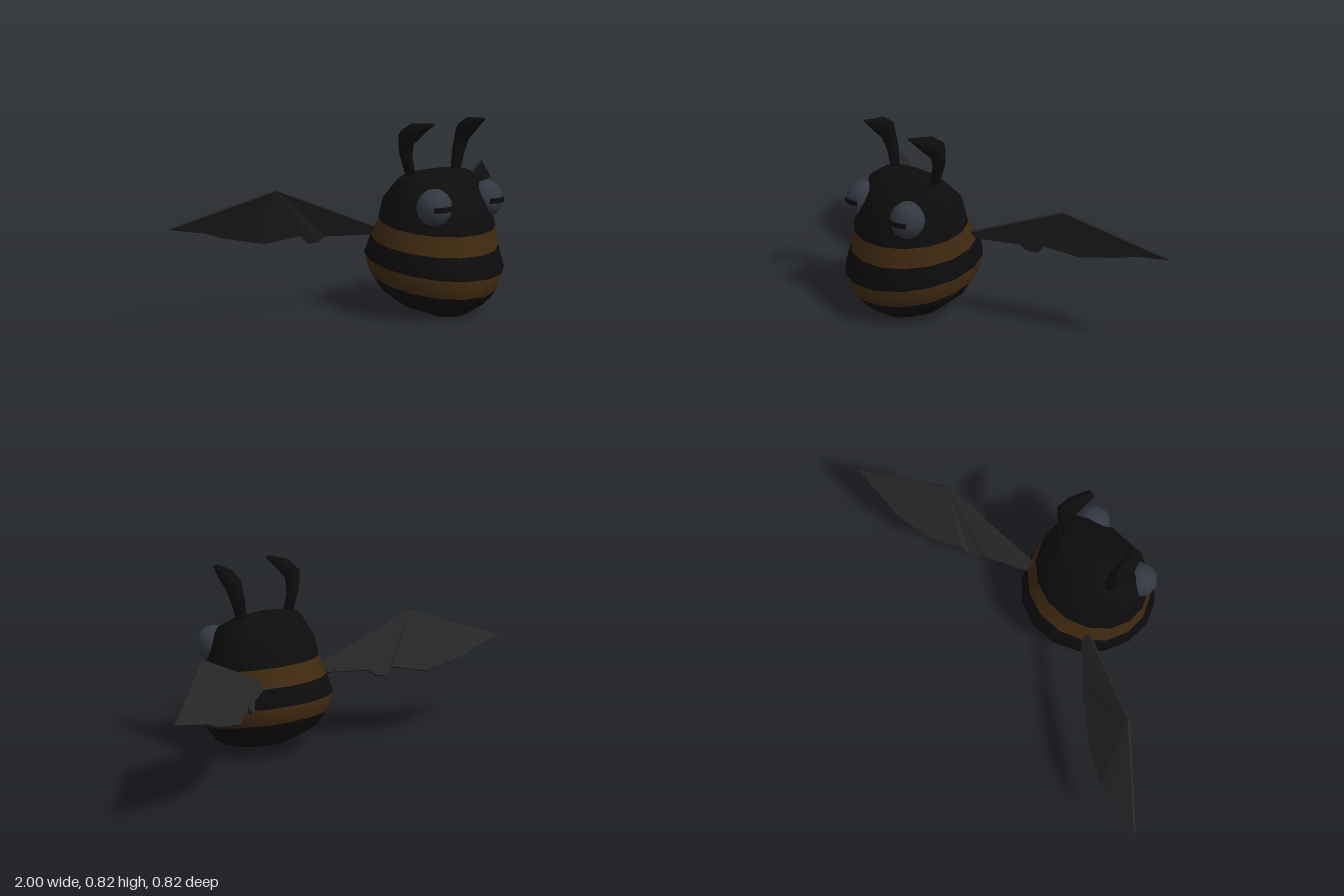
import * as THREE from 'three';

const paint = (color, extra = {}) => new THREE.MeshStandardMaterial({ color, ...extra });
const black = paint(0x0d0d0d);
const amber = paint(0x402a10);
const eyeGrey = paint(0x343842);
const wingGrey = paint(0x262626, { flatShading: true, side: THREE.DoubleSide });

function mesh(name, geometry, material) {
  const m = new THREE.Mesh(geometry, material);
  m.name = name;
  return m;
}

// Skin over tilted rings, each [frontZ, frontY, backZ, backY, centreX, halfWidth], bottom to top.
function loft(rings, sides) {
  const pos = [], index = [];
  for (const [fz, fy, bz, by, cx, w] of rings) {
    for (let i = 0; i < sides; i++) {
      const a = (i / sides) * Math.PI * 2, t = (1 + Math.cos(a)) / 2;
      pos.push(cx + w * Math.sin(a), by + (fy - by) * t, bz + (fz - bz) * t);
    }
  }
  for (let j = 0; j < rings.length - 1; j++) {
    for (let i = 0; i < sides; i++) {
      const n = (i + 1) % sides, lo = j * sides, hi = lo + sides;
      index.push(lo + i, lo + n, hi + n, lo + i, hi + n, hi + i);
    }
  }
  // End caps
  const top = (rings.length - 1) * sides;
  for (let i = 1; i < sides - 1; i++) index.push(top, top + i, top + i + 1);
  for (let i = 1; i < sides - 1; i++) index.push(0, i + 1, i);
  const g = new THREE.BufferGeometry();
  g.setAttribute('position', new THREE.Float32BufferAttribute(pos, 3));
  g.setIndex(index);
  g.computeVertexNormals();
  return g;
}

function createBody() {
  const sides = 16;
  const skin = loft([
    [0.265, 0, 0.16, 0, 0, 0.08],
    [0.335, 0.045, 0, 0.045, 0, 0.19],
    [0.36, 0.07, -0.13, 0.13, 0, 0.245],
    [0.38, 0.095, -0.17, 0.195, 0, 0.272],
    [0.41, 0.175, -0.19, 0.27, 0, 0.295],
    [0.375, 0.27, -0.15, 0.345, 0, 0.28],
    [0.36, 0.355, -0.105, 0.42, 0, 0.265],
    [0.325, 0.46, -0.08, 0.5, 0, 0.25],
    [0.27, 0.545, 0.01, 0.58, 0, 0.228],
    [0.2, 0.588, 0.04, 0.597, 0, 0.185],
    [0.15, 0.605, 0.08, 0.605, 0, 0.09],
  ], sides);
  const all = Array.from(skin.index.array);
  const row = sides * 6, cap = (sides - 2) * 3, rows = row * 10;
  // Cut the skin into colour bands that share its smooth normals
  const band = (name, material, from, to, extra = []) => {
    const g = skin.clone();
    g.setIndex([...all.slice(from * row, to * row), ...extra]);
    return mesh(name, g, material);
  };
  const body = new THREE.Group();
  body.name = 'body';
  body.add(
    band('abdomen', black, 0, 3, all.slice(rows + cap)),
    band('lowerStripe', amber, 3, 4),
    band('waist', black, 4, 5),
    band('upperStripe', amber, 5, 6),
    band('head', black, 6, 10, all.slice(rows, rows + cap)),
  );
  return body;
}

function createEye() {
  const eye = new THREE.Group();
  eye.name = 'eye';
  const slit = new THREE.SphereGeometry(1.03, 8, 2, Math.PI / 2 - 0.75, 1.5, Math.PI / 2 - 0.14, 0.28);
  eye.add(
    mesh('eyeball', new THREE.SphereGeometry(1, 10, 8), eyeGrey),
    mesh('pupilSlit', slit, black),
  );
  eye.scale.set(0.076, 0.079, 0.073);
  eye.position.set(0.165, 0.477, 0.257);
  eye.rotation.y = 0.1;
  return eye;
}

function createAntenna() {
  return mesh('antenna', loft([
    [0.125, 0.58, 0.085, 0.58, 0.138, 0.022],
    [0.128, 0.665, 0.075, 0.7, 0.168, 0.03],
    [0.145, 0.72, 0.085, 0.78, 0.18, 0.036],
    [0.185, 0.755, 0.14, 0.815, 0.175, 0.036],
    [0.235, 0.805, 0.24, 0.82, 0.16, 0.02],
  ], 6), black);
}

// Thin ragged wing: a fan from the peak to the trailing edge, given a small thickness
function createWing() {
  const outline = [
    [0.64, 0.56, -0.17], [0.2, 0.37, -0.04], [0.2, 0.335, -0.075],
    [0.36, 0.335, -0.18], [0.38, 0.31, -0.2], [0.42, 0.305, -0.225],
    [0.45, 0.342, -0.235], [0.58, 0.315, -0.32], [0.75, 0.355, -0.385],
    [0.83, 0.385, -0.39], [1, 0.42, -0.41],
  ];
  const n = outline.length, normal = [0.38, -0.55, 0.74], pos = [], index = [];
  for (const s of [0.006, -0.006]) {
    for (const p of outline) pos.push(...p.map((v, k) => v + normal[k] * s));
  }
  for (let i = 1; i < n - 1; i++) index.push(0, i, i + 1, n, n + i + 1, n + i);
  for (let i = 0; i < n; i++) {
    const k = (i + 1) % n;
    index.push(i, n + i, n + k, i, n + k, k);
  }
  const g = new THREE.BufferGeometry();
  g.setAttribute('position', new THREE.Float32BufferAttribute(pos, 3));
  g.setIndex(index);
  g.computeVertexNormals();
  return mesh('wing', g, wingGrey);
}

export function createModel() {
  const model = new THREE.Group();
  model.name = 'bee';
  model.add(createBody());
  // Paired parts, mirrored across x
  for (const [name, side] of [['leftParts', 1], ['rightParts', -1]]) {
    const half = new THREE.Group();
    half.name = name;
    half.scale.x = side;
    half.add(createEye(), createAntenna(), createWing());
    model.add(half);
  }
  return model;
}
